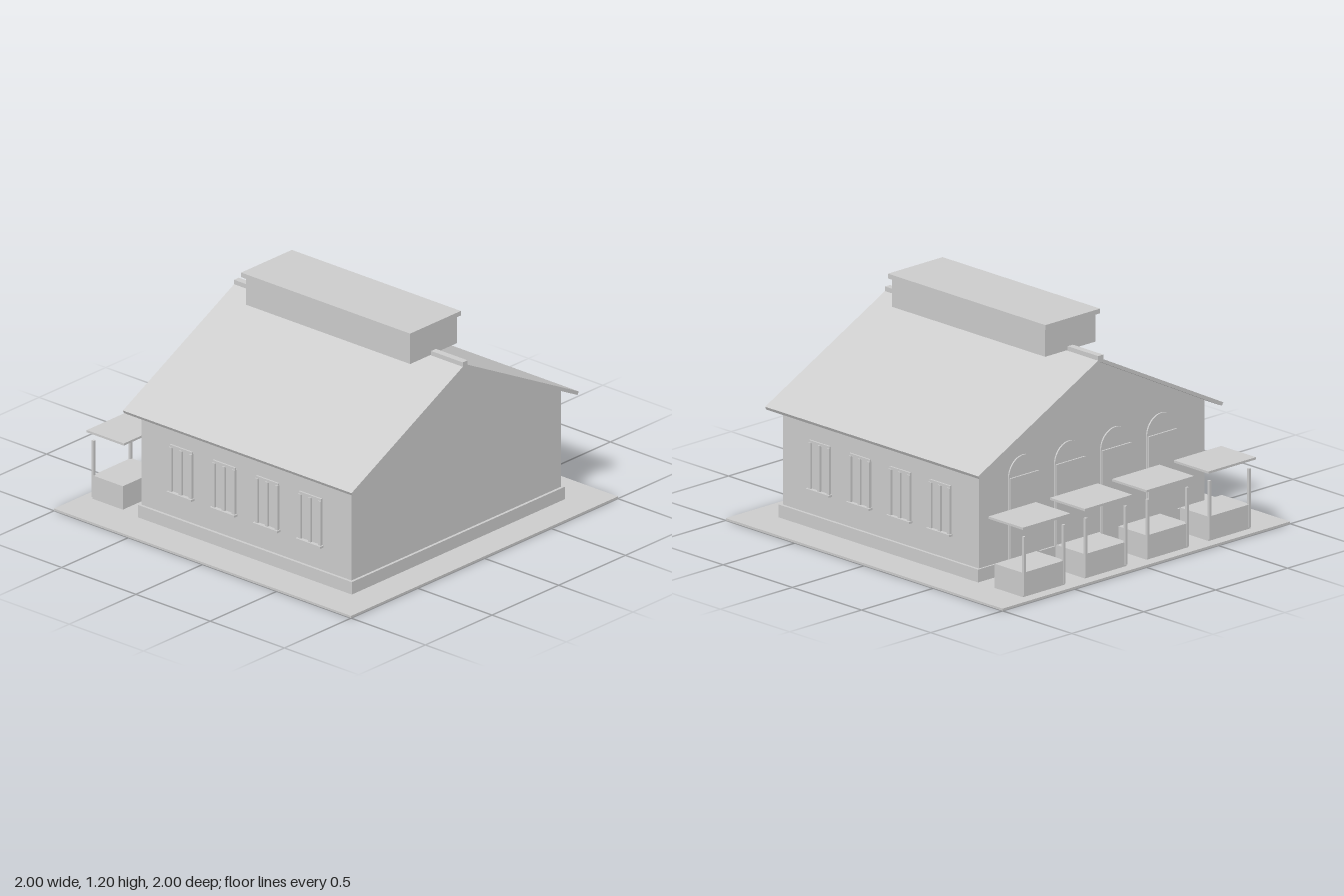
import * as THREE from 'three';

export function createModel() {
  const model = new THREE.Group();
  const grey = new THREE.MeshStandardMaterial({ color: 0xcccccc });
  grey.name = 'light grey';

  const add = (name, geometry, parent = model) => {
    const mesh = new THREE.Mesh(geometry, grey);
    mesh.name = name;
    parent.add(mesh);
    return mesh;
  };
  // Box given by its limits on each axis
  const box = (name, x0, x1, y0, y1, z0, z1, parent) => {
    const mesh = add(name, new THREE.BoxGeometry(x1 - x0, y1 - y0, z1 - z0), parent);
    mesh.position.set((x0 + x1) / 2, (y0 + y1) / 2, (z0 + z1) / 2);
    return mesh;
  };
  // Outline in x, y pushed from z0 to z1
  const prism = (name, shape, z0, z1) => {
    const geometry = new THREE.ExtrudeGeometry(shape, { depth: z1 - z0, bevelEnabled: false, curveSegments: 16 });
    add(name, geometry.translate(0, 0, z0));
  };
  const outline = (points) => new THREE.Shape(points.map(([x, y]) => new THREE.Vector2(x, y)));

  // Ground and building body
  box('ground', -1, 1, 0, 0.012, -1, 1);
  box('plinth', -0.8, 0.8, 0.012, 0.08, -0.615, 0.825);
  prism('walls', outline([[-0.785, 0.05], [0.785, 0.05], [0.785, 0.61], [0, 1.005], [-0.785, 0.61]]), -0.605, 0.81);

  // Pitched roof
  for (const s of [-1, 1]) {
    const slope = [[0, 1.005], [s * 0.843, 0.58], [s * 0.852, 0.597], [0, 1.025]];
    prism('roofSlope', outline(slope), -0.67, 0.87);
  }
  box('ridgeCap', -0.018, 0.018, 1.005, 1.04, -0.67, 0.87);
  box('roofVent', -0.175, 0.175, 1.02, 1.17, -0.45, 0.657);
  box('roofVentCover', -0.19, 0.19, 1.17, 1.195, -0.468, 0.67);

  // Side windows: pane, frame bars and sill
  for (const s of [-1, 1]) {
    for (let i = 0; i < 4; i++) {
      const window = new THREE.Group();
      window.name = 'sideWindow';
      window.position.z = 0.538 - i * 0.29;
      const bar = (name, depth, y0, y1, z0, z1) => {
        const a = s * 0.78, b = s * depth;
        box(name, Math.min(a, b), Math.max(a, b), y0, y1, z0, z1, window);
      };
      bar('pane', 0.788, 0.215, 0.46, -0.065, 0.065);
      bar('head', 0.794, 0.455, 0.47, -0.075, 0.075);
      for (const z of [-0.067, 0, 0.067]) bar('upright', 0.8, 0.215, 0.458, z - 0.009, z + 0.009);
      bar('sill', 0.81, 0.205, 0.216, -0.083, 0.083);
      model.add(window);
    }
  }

  // Arched doorways on the back wall
  for (const x of [-0.48, -0.16, 0.16, 0.48]) {
    const arch = new THREE.Shape();
    arch.moveTo(x - 0.103, 0.012);
    arch.lineTo(x + 0.103, 0.012);
    arch.lineTo(x + 0.103, 0.51);
    arch.absarc(x, 0.51, 0.103, 0, Math.PI, false);
    prism('doorArch', arch, -0.613, -0.6);
    box('door', x - 0.1, x + 0.1, 0.012, 0.51, -0.622, -0.6);
  }

  // Market stalls behind the building
  for (let i = 0; i < 4; i++) {
    const stall = new THREE.Group();
    stall.name = 'stall';
    stall.position.x = -0.635 + i * 0.43;
    box('counter', -0.145, 0.145, 0.012, 0.14, -0.94, -0.735, stall);
    box('canopy', -0.165, 0.165, 0.376, 0.388, -0.96, -0.71, stall);
    for (const x of [-0.138, 0.138]) box('post', x - 0.007, x + 0.007, 0.02, 0.33, -0.945, -0.931, stall);
    model.add(stall);
  }

  return model;
}
